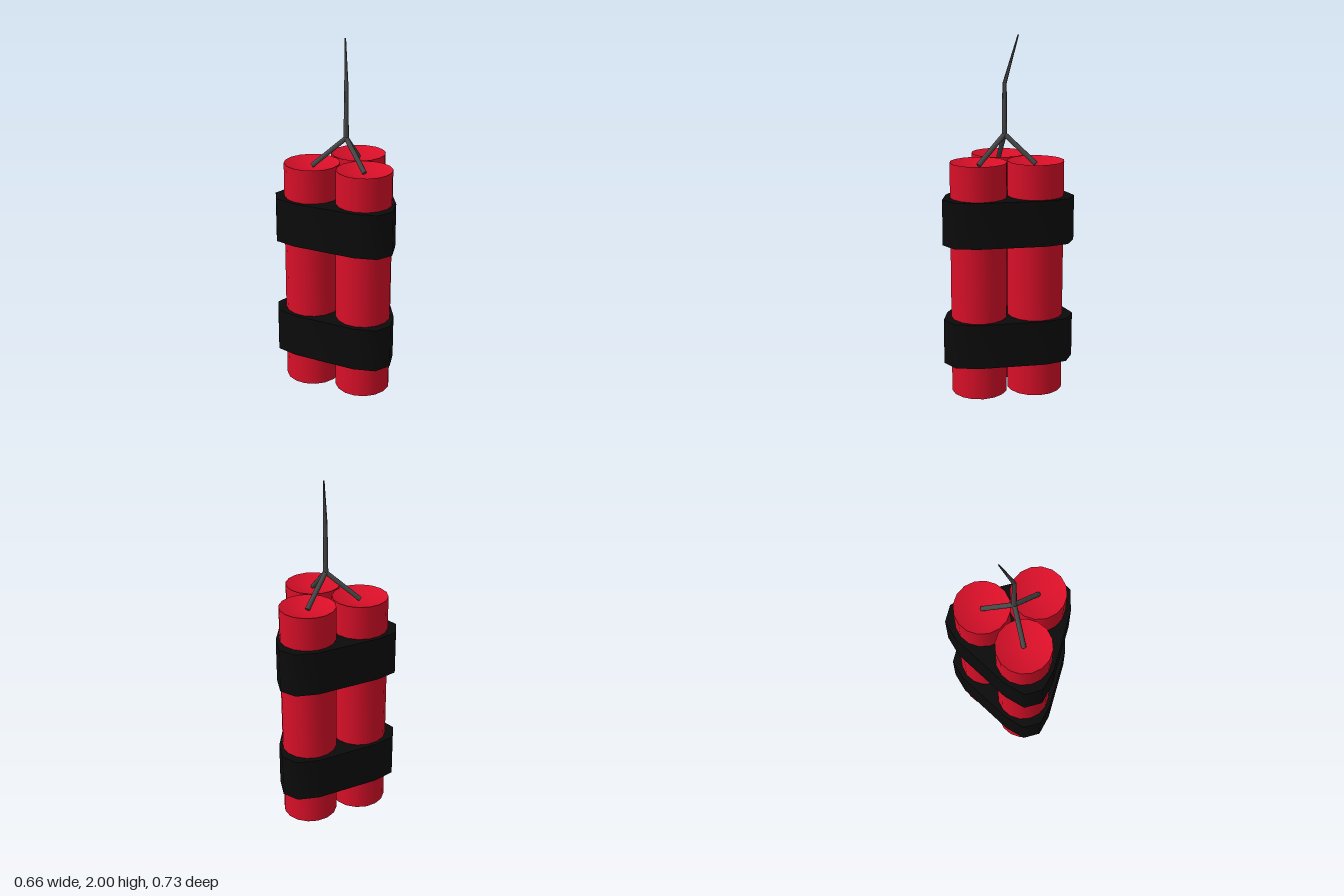
import * as THREE from 'three';
import { toCreasedNormals } from 'three/addons/utils/BufferGeometryUtils.js';

const red = new THREE.MeshStandardMaterial({ color: 0xd80f28 });
const black = new THREE.MeshStandardMaterial({ color: 0x0b0b0b });
const grey = new THREE.MeshStandardMaterial({ color: 0x484848 });

const STICKS = [[-0.125, 0], [0.153, -0.16], [0.153, 0.16]];
const KNOT = new THREE.Vector3(0.066, 1.46, 0);

function add(parent, name, geometry, material) {
  const mesh = new THREE.Mesh(geometry, material);
  mesh.name = name;
  parent.add(mesh);
  return mesh;
}

// Thin cord running from one point to another
function cord(from, to, radius) {
  const dir = to.clone().sub(from);
  const g = new THREE.CylinderGeometry(radius, radius, dir.length(), 8);
  g.applyQuaternion(new THREE.Quaternion().setFromUnitVectors(
    new THREE.Vector3(0, 1, 0), dir.clone().normalize()));
  const mid = from.clone().add(to).multiplyScalar(0.5);
  return g.translate(mid.x, mid.y, mid.z);
}

// Upright fuse: straight, then leaning back and tapering to a tip
function fuseGeometry() {
  const g = new THREE.CylinderGeometry(1, 1, 2, 8, 2);
  const rings = [[1.445, 0, 0.015], [1.74, 0, 0.012], [2, -0.075, 0.004]]; // y, z, radius
  const p = g.attributes.position;
  for (let i = 0; i < p.count; i++) {
    const [y, z, r] = rings[Math.round(p.getY(i)) + 1];
    p.setXYZ(i, KNOT.x + p.getX(i) * r, y, z + p.getZ(i) * r);
  }
  g.computeVertexNormals();
  return toCreasedNormals(g, 0.9);
}

// Strap wrapped around the three sticks
function strapGeometry(height) {
  const half = [[-0.33, 0.053], [-0.237, 0.142], [0.08, 0.334],
    [0.203, 0.367], [0.293, 0.315], [0.327, 0.19]];
  const outline = [...half, ...half.map(([x, z]) => [x, -z]).reverse()];
  const shape = new THREE.Shape(outline.map(([x, z]) => new THREE.Vector2(x, z)));
  const g = new THREE.ExtrudeGeometry(shape, { depth: height, bevelEnabled: false });
  return toCreasedNormals(g.rotateX(-Math.PI / 2), 0.9);
}

export function createModel() {
  const model = new THREE.Group();
  model.name = 'stickBundle';

  // Sticks with a shallow dished top
  const profile = [[0, 0], [0.158, 0], [0.158, 1.325], [0.149, 1.319], [0, 1.29]]
    .map(([r, y]) => new THREE.Vector2(r, y));
  const stickGeometry = toCreasedNormals(new THREE.LatheGeometry(profile, 16), 0.7);
  STICKS.forEach(([x, z], i) => {
    add(model, `stick${i + 1}`, stickGeometry, red).position.set(x, 0, z);
    // Branch from the stick's centre to the knot
    add(model, `fuseBranch${i + 1}`, cord(new THREE.Vector3(x, 1.305, z), KNOT, 0.014), grey);
  });

  // Straps
  const strap = strapGeometry(0.255);
  add(model, 'lowerStrap', strap, black).position.y = 0.19;
  add(model, 'upperStrap', strap, black).position.y = 0.877;

  add(model, 'mainFuse', fuseGeometry(), grey);
  return model;
}
